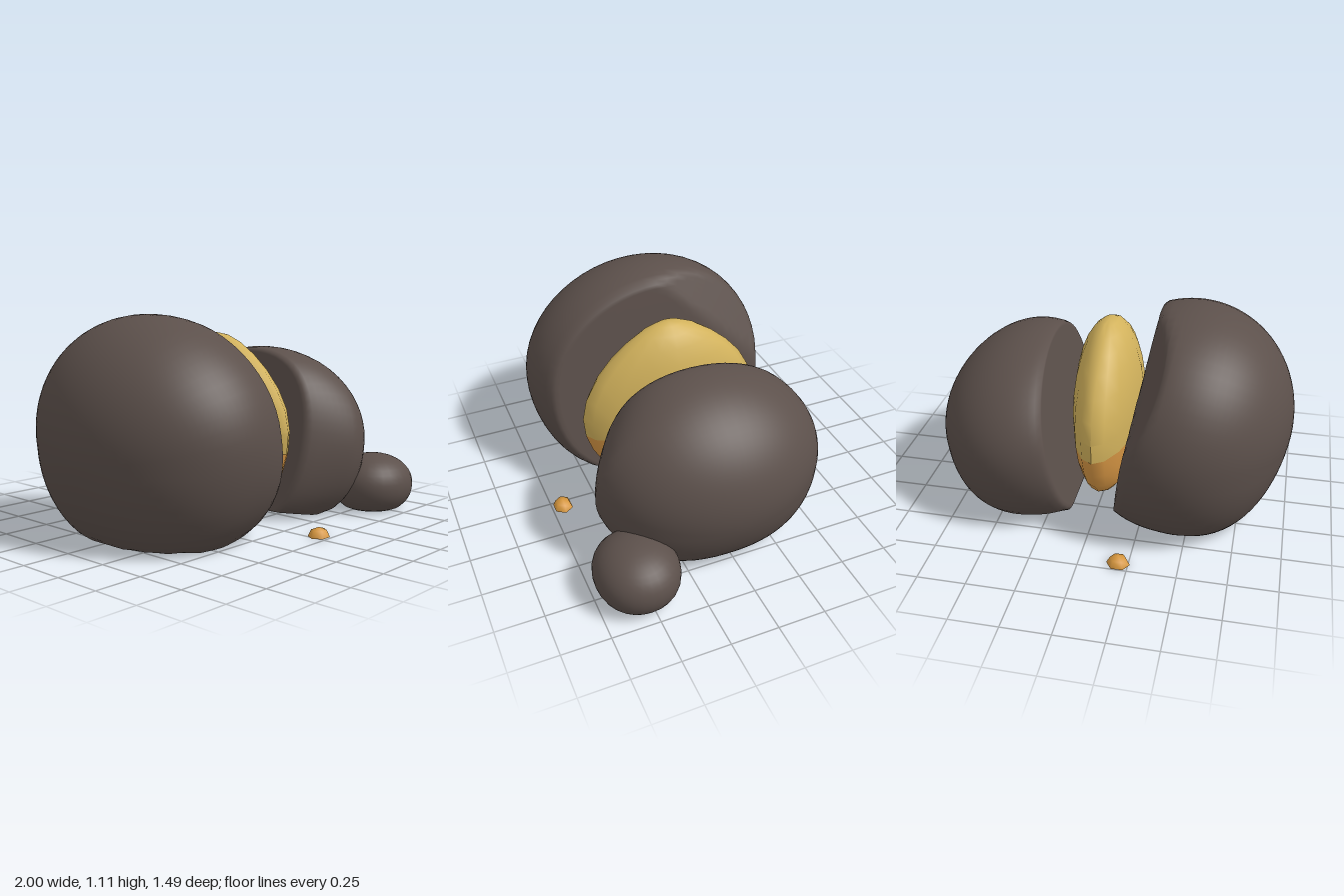
import * as THREE from 'three';
import { toCreasedNormals } from 'three/addons/utils/BufferGeometryUtils.js';

const mat = (name, color, side = THREE.FrontSide) =>
  Object.assign(new THREE.MeshStandardMaterial({ color, side }), { name });

// Move every vertex by a rule, then smooth everything softer than the crease angle
function reshape(geo, rule, crease = 0.9) {
  const p = geo.attributes.position, v = new THREE.Vector3();
  for (let i = 0; i < p.count; i++) {
    v.fromBufferAttribute(p, i);
    rule(v);
    p.setXYZ(i, v.x, v.y, v.z);
  }
  return toCreasedNormals(geo, crease);
}

// Push a unit direction out onto a slightly boxy sphere
function boxy(v, p) {
  const n = Math.abs(v.x) ** p + Math.abs(v.y) ** p + Math.abs(v.z) ** p;
  return v.multiplyScalar(1 / n ** (1 / p));
}

// Leaning half frame: out = distance from the split face, up = height along it
function lean(v, half, out, up, z) {
  const c = Math.cos(half.tilt), s = Math.sin(half.tilt);
  return v.set(half.side * (half.foot + out * c + up * s), Math.max(0, 0.05 - out * s + up * c), z);
}

// Half boulder: ellipsoid cut by the split face, its own base and the ground
function halfBoulder(half) {
  const geo = new THREE.SphereGeometry(1, 56, 44).rotateZ(Math.PI / 2);
  const [co, cu, cz] = half.center, [ro, ru, rz] = half.radii;
  return reshape(geo, (v) => {
    boxy(v, 2 + 0.5 * Math.max(0, -v.y));
    const away = half.side * v.x;
    const up = Math.max(0, cu + v.y * ru * (1 - half.crown * away));
    // the front tapers towards the split face, the crown leans sideways
    const front = v.z > 0 ? half.taper * Math.max(0, 0.15 - away) * v.z * v.z : 0;
    const z = cz + v.z * rz - front + half.sway * Math.max(0, v.y) ** 2;
    // the upper rear corner of the split face is worn back
    const worn = half.wear * Math.max(0, (up - 0.5) * 0.8 - z * 0.8 - 0.45);
    lean(v, half, Math.max(worn, co + away * ro), up, z);
  }, 1.3);
}

export function createModel() {
  const group = new THREE.Group();
  const stone = mat('dark stone', 0x5c504b);
  const gold = mat('gold crystal', 0xd2b25c);
  const amber = mat('amber crystal', 0xdc9a46);
  const spark = mat('orange grain', 0xd8983f);
  const rust = mat('rust underside', 0xb43c14);
  const stain = mat('brown stain', 0x7c5138, THREE.DoubleSide);
  const add = (name, geo, material) => {
    const mesh = new THREE.Mesh(geo, material);
    mesh.name = name;
    group.add(mesh);
    return mesh;
  };

  // Two halves of the split boulder
  const large = { side: -1, foot: 0.11, tilt: 0.16, center: [0.25, 0.5, 0.025], radii: [0.56, 0.605, 0.675],
    crown: 0, taper: 0, sway: -0.04, wear: 0.45 };
  const small = { side: 1, foot: 0.12, tilt: 0.195, center: [0.2, 0.4, 0.015], radii: [0.5, 0.5, 0.62],
    crown: 0.06, taper: 0.22, sway: 0.03, wear: 0 };
  add('largeHalfBoulder', halfBoulder(large), stone);
  add('smallHalfBoulder', halfBoulder(small), stone);

  // Stain low on the split face of the large half
  const outline = new THREE.Shape([[-0.22, 0.01], [0.25, 0.01], [0.38, 0.1], [0.46, 0.19], [0.48, 0.34],
    [-0.42, 0.34], [-0.41, 0.19], [-0.33, 0.1]].map(([x, y]) => new THREE.Vector2(x, y)));
  add('faceStain', reshape(new THREE.ShapeGeometry(outline),
    (v) => lean(v, large, -0.004, v.y, v.x)), stain);

  // Lens-shaped crystal core, amber below a level line and gold above it
  const seam = Math.acos(-0.2);
  const core = (start, length, rows) => reshape(
    new THREE.SphereGeometry(1, 16, rows, 0, Math.PI * 2, start, length), (v) => {
      const pinch = 1 - 0.2 * Math.abs(v.z);
      const peak = 1 - 0.33 * Math.max(0, v.y) ** 2;
      v.set(-0.008 + v.x * 0.192 * pinch, 0.503 + v.y * 0.5, 0.037 + v.z * 0.49 * peak);
    }, 1.1);
  add('upperCore', core(0, seam, 8), gold);
  add('lowerCore', core(seam, Math.PI - seam, 6), amber);

  // Loose pebble resting on its flattened base
  add('pebble', reshape(new THREE.SphereGeometry(1, 28, 20), (v) => {
    boxy(v, 2.1);
    v.set(0.763 + v.x * 0.236, Math.max(0, 0.135 + v.y * 0.172), 0.532 + v.z * 0.214);
  }), stone);

  // Small grains on the ground, front and back
  for (const [name, x, z] of [['frontGrain', 0.04, 0.69], ['backGrain', -0.2, -0.7]]) {
    const dome = new THREE.SphereGeometry(0.06, 6, 2, 0, Math.PI * 2, 0, Math.PI / 2).scale(1, 0.83, 0.9);
    add(name, toCreasedNormals(dome, 1.2), spark).position.set(x, 0, z);
    const base = new THREE.CircleGeometry(0.06, 6).rotateX(Math.PI / 2).scale(1, 1, 0.9);
    add(name + 'Base', base, rust).position.set(x, 0, z);
  }
  return group;
}
